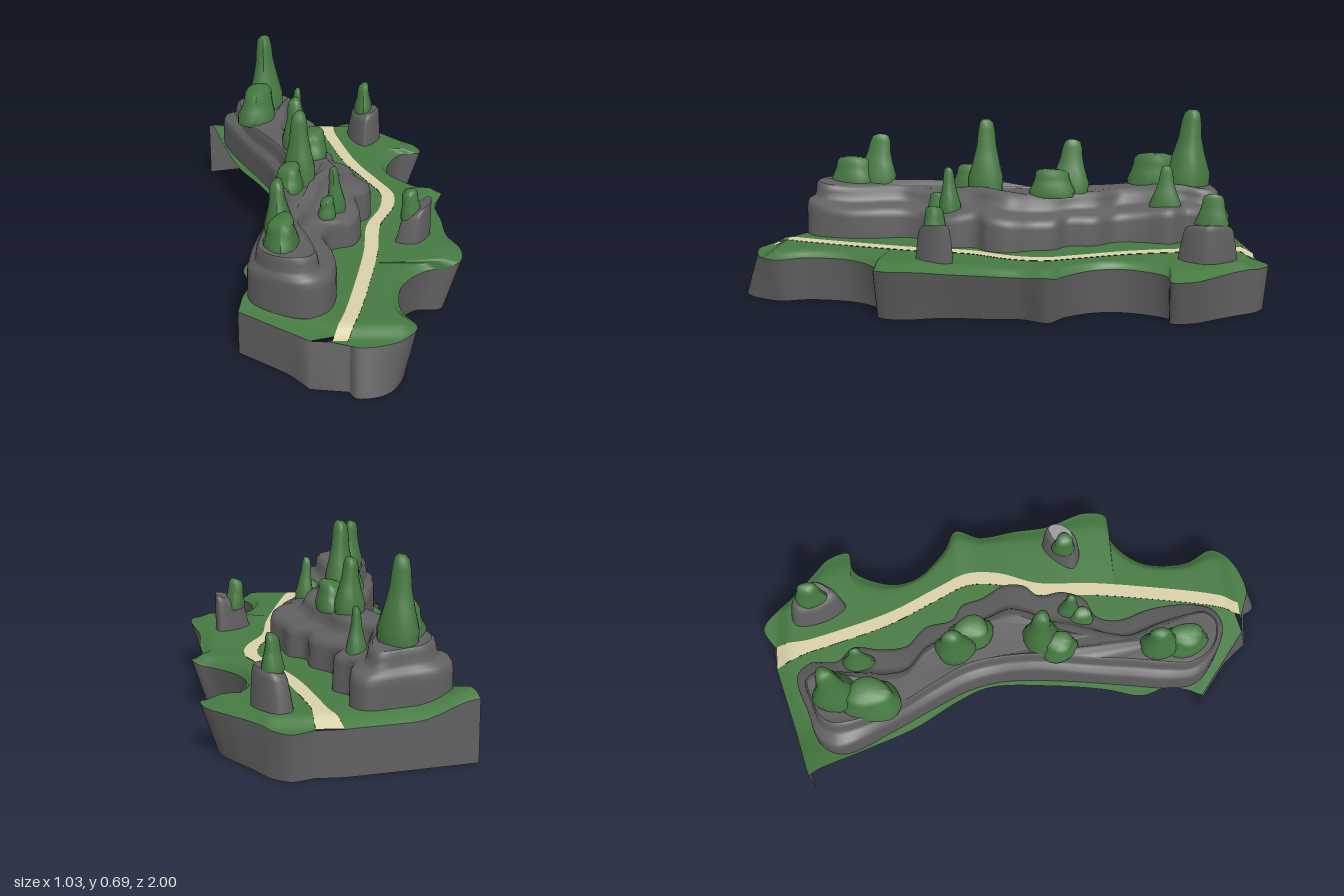
import * as THREE from 'three';

const material = (color) => new THREE.MeshStandardMaterial({ color, side: THREE.DoubleSide, roughness: 1 });
const grass = material(0x467a42), rock = material(0x606060), sand = material(0xd8d0a8);
const { smoothstep, lerp, clamp } = THREE.MathUtils;

// Smooth curve through [x, z] points, sampled as Vector3 on y = 0
function trace(points, n, closed = false) {
  const curve = new THREE.CatmullRomCurve3(points.map(([x, z]) => new THREE.Vector3(x, 0, z)), closed);
  const samples = curve.getPoints(n);
  if (closed) samples.pop();
  return samples;
}

// Surface through rows of equally many points
function loft(rows, closed = false) {
  const n = rows[0].length, index = [];
  for (let r = 0; r < rows.length - 1; r++) {
    for (let i = 0; i < (closed ? n : n - 1); i++) {
      const a = r * n + i, b = r * n + (i + 1) % n;
      index.push(a, a + n, b, b, a + n, b + n);
    }
  }
  const geo = new THREE.BufferGeometry();
  geo.setAttribute('position', new THREE.Float32BufferAttribute(rows.flat().flatMap((p) => p.toArray()), 3));
  geo.setIndex(index);
  geo.computeVertexNormals();
  return geo;
}

function addMesh(parent, name, geo, mat) {
  const mesh = new THREE.Mesh(geo, mat);
  mesh.name = name;
  parent.add(mesh);
}

// Stepped rock: rings blend from the outer to the inner outline, then a cap
function addMesa(parent, name, outer, inner, levels, lift, n) {
  const a = trace(outer, n, true), b = trace(inner, n, true);
  const rows = levels.map(([k, y]) => a.map((p, i) => {
    const q = p.clone().lerp(b[i], k);
    q.y = y + (y > 0.2 ? lift(q.x, q.z) : 0);
    return q;
  }));
  const top = rows[rows.length - 1];
  const cap = new THREE.ShapeGeometry(new THREE.Shape(top.map((p) => new THREE.Vector2(p.x, -p.z))));
  cap.rotateX(-Math.PI / 2);
  const pos = cap.attributes.position;
  for (let i = 0; i < pos.count; i++) {
    pos.setY(i, levels[levels.length - 1][1] + lift(pos.getX(i), pos.getZ(i)));
  }
  cap.computeVertexNormals();
  const group = new THREE.Group();
  group.name = name;
  addMesh(group, name + 'Wall', loft(rows, true), rock);
  addMesh(group, name + 'Top', cap, rock);
  parent.add(group);
}

// Rounded foliage lump, wider at its foot, leaning towards its tip
function lump(x, z, rx, rz, y0, y1, leanX, leanZ, taper) {
  const profile = [[1, 0], [1.03, 0.2], [lerp(1, taper, 0.5), 0.45], [lerp(1, taper, 0.85), 0.65],
    [taper, 0.85], [taper * 0.8, 0.96], [taper * 0.4, 1], [0, 1]];
  const geo = new THREE.LatheGeometry(profile.map(([r, y]) => new THREE.Vector2(r, y)), 18);
  const pos = geo.attributes.position;
  for (let i = 0; i < pos.count; i++) {
    const u = pos.getX(i), v = pos.getY(i), w = pos.getZ(i), angle = Math.atan2(w, u);
    const wobble = 1 + 0.08 * Math.sin(3 * angle + x * 20 + v * 2);
    pos.setXYZ(i, x + u * rx * wobble + leanX * v, lerp(y0, y1, v) + 0.015 * u * v, z + w * rz * wobble + leanZ * v);
  }
  geo.computeVertexNormals();
  return geo;
}

export function createModel() {
  const model = new THREE.Group();

  // Outlines: left edge, path centre line and wavy right edge, back to front
  const left = trace([[-0.52, -0.82], [-0.42, -0.58], [-0.35, -0.4], [-0.26, -0.24], [-0.21, -0.11], [-0.22, 0.13],
    [-0.25, 0.34], [-0.285, 0.48], [-0.26, 0.58], [-0.29, 0.72]], 80);
  const right = trace([[0.03, -0.955], [0.1, -0.995], [0.14, -0.98], [0.24, -0.87], [0.33, -0.79], [0.39, -0.73], [0.41, -0.65],
    [0.33, -0.63], [0.28, -0.55], [0.26, -0.45], [0.29, -0.36], [0.39, -0.26], [0.47, -0.21], [0.44, -0.11],
    [0.455, 0.03], [0.465, 0.17], [0.51, 0.33], [0.49, 0.41], [0.4, 0.42], [0.33, 0.47], [0.275, 0.56],
    [0.27, 0.72], [0.32, 0.83], [0.26, 0.91], [0.12, 0.95], [0.09, 0.92]], 160);
  const path = trace([[-0.02, -0.945], [0.045, -0.69], [0.11, -0.48], [0.2, -0.29], [0.25, -0.175], [0.245, -0.05],
    [0.19, 0.11], [0.175, 0.32], [0.14, 0.56], [0.095, 0.8], [0.06, 0.91]], 100);

  const pathAt = (z, side) => {
    const i = clamp(path.findIndex((p) => p.z >= z), 1, path.length - 1);
    const zc = clamp(z, -0.945, 0.91);
    const t = (zc - path[i - 1].z) / (path[i].z - path[i - 1].z);
    const half = 0.026 + 0.02 * smoothstep(-zc, 0.8, 0.95);
    return new THREE.Vector3(lerp(path[i - 1].x, path[i].x, clamp(t, 0, 1)) + side * half, 0, zc);
  };
  const dip = (z) => 0.03 * (smoothstep(-z, 0.89, 0.945) + smoothstep(z, 0.84, 0.91));
  const rise = (x, z) => 0.06 * smoothstep(-x, 0.3, 0.52) * smoothstep(-z, 0.5, 0.82);

  // Ground on both sides of the path, rolling down at its rim
  const leftGround = left.map((p) => {
    const z = lerp(-0.945, 0.91, (p.z + 0.82) / 1.54), q = pathAt(z, -1);
    return Array.from({ length: 11 }, (_, j) => {
      const g = p.clone().lerp(q, j / 10);
      g.y = 0.195 - dip(z) + rise(g.x, g.z);
      return g;
    });
  });
  const rightGround = right.map((p) => {
    const q = pathAt(p.z, 1);
    return [0, 0.25, 0.5, 0.7, 0.8, 0.88, 0.95, 1].map((v) => {
      const g = q.clone().lerp(p, v);
      const crest = 0.025 * smoothstep(p.x, 0.42, 0.51) * v;
      g.y = 0.195 + crest - Math.max(dip(q.z), 0.025 * smoothstep(v, 0.75, 1));
      return g;
    });
  });
  addMesh(model, 'groundLeft', loft(leftGround), grass);
  addMesh(model, 'groundRight', loft(rightGround), grass);
  addMesh(model, 'path', loft(path.map((p) => [-1, 0, 1].map((s) => pathAt(p.z, s).setY(0.196 - dip(p.z))))), sand);

  // Cliff skirt under the back, right and front rims
  const rim = [...leftGround[0], ...rightGround.map((r) => r[r.length - 1]), ...leftGround[leftGround.length - 1].slice().reverse()];
  const skirt = [0, 0.15, 0.5, 1].map((k) => rim.map((p) => new THREE.Vector3(
    p.x - 0.06 * k * smoothstep(p.x, 0.15, 0.45),
    p.y * (1 - k),
    p.z + k * (0.05 * smoothstep(p.z, 0.84, 0.95) + 0.015 * smoothstep(-p.z, 0.93, 1)))));
  addMesh(model, 'skirt', loft(skirt), rock);

  // Two-step ridge: [outer x, outer z, inner x, inner z] around the outline
  const ridge = [[-0.445, -0.69, -0.375, -0.69], [-0.4, -0.77, -0.34, -0.75], [-0.285, -0.81, -0.27, -0.78], [-0.14, -0.85, -0.19, -0.8],
    [-0.09, -0.8, -0.16, -0.75], [-0.095, -0.69, -0.175, -0.66], [-0.04, -0.63, -0.19, -0.57], [-0.05, -0.53, -0.195, -0.49],
    [-0.04, -0.42, -0.18, -0.42], [0.03, -0.345, -0.1, -0.345], [0.05, -0.24, -0.05, -0.24], [0.11, -0.2, -0.01, -0.16],
    [0.135, -0.12, 0.01, -0.09], [0.18, -0.03, 0.03, -0.02], [0.17, 0.05, 0.01, 0.05], [0.125, 0.1, -0.03, 0.13],
    [0.14, 0.2, -0.05, 0.21], [0.11, 0.28, -0.07, 0.29], [0.03, 0.32, -0.085, 0.36], [0.005, 0.4, -0.1, 0.44],
    [0.04, 0.53, -0.06, 0.56], [0.05, 0.64, -0.035, 0.65], [0.02, 0.77, -0.025, 0.73], [-0.05, 0.81, -0.07, 0.77],
    [-0.15, 0.78, -0.16, 0.75], [-0.25, 0.69, -0.22, 0.67], [-0.26, 0.58, -0.215, 0.56], [-0.235, 0.4, -0.19, 0.4],
    [-0.205, 0.19, -0.165, 0.19], [-0.19, -0.05, -0.15, -0.05], [-0.215, -0.185, -0.17, -0.185], [-0.275, -0.32, -0.235, -0.32],
    [-0.365, -0.5, -0.33, -0.5]];
  addMesa(model, 'ridge', ridge.map((p) => [p[0], p[1]]), ridge.map((p) => [p[2], p[3]]),
    [[0, 0.19], [0.02, 0.28], [0.06, 0.3], [0.2, 0.315], [0.65, 0.325], [0.8, 0.335], [0.87, 0.36], [0.93, 0.378], [1.1, 0.385]],
    (x, z) => 0.01 * Math.sin(9 * z + 1) + 0.006 * Math.sin(17 * z), 200);

  // Two single rocks beside the path
  const boulders = [
    ['backBoulder', [[0.1, -0.86], [0.15, -0.88], [0.24, -0.77], [0.17, -0.66], [0.11, -0.74]], [0.17, -0.78],
      (x) => 0.2 * (x - 0.17)],
    ['frontBoulder', [[0.26, 0.26], [0.32, 0.17], [0.38, 0.14], [0.4, 0.2], [0.34, 0.29]], [0.37, 0.2],
      (x) => 0.45 * (x - 0.35)],
  ];
  for (const [name, outline, [cx, cz], lift] of boulders) {
    addMesa(model, name, outline, outline.map(([x, z]) => [lerp(x, cx, 0.3) + 0.01, lerp(z, cz, 0.3)]),
      [[0, 0.18], [0.3, 0.25], [0.6, 0.3], [0.8, 0.315], [1.3, 0.325]], lift, 40);
  }

  // Bushes: tall column and low shoulder, each x, z, radii, foot, top, lean, taper
  const bushes = {
    backBush: [[-0.26, -0.68, 0.07, 0.085, 0.37, 0.685, -0.005, -0.02, 0.45], [-0.295, -0.55, 0.075, 0.11, 0.37, 0.505, 0.01, -0.01, 0.75]],
    backLedgeBush: [[-0.12, -0.605, 0.038, 0.06, 0.3, 0.485, 0, 0, 0.4]],
    middleBush: [[-0.11, -0.23, 0.055, 0.075, 0.37, 0.58, -0.01, -0.01, 0.5], [-0.05, -0.165, 0.06, 0.085, 0.37, 0.475, 0, 0, 0.75]],
    centreBush: [[-0.09, 0.095, 0.06, 0.065, 0.37, 0.655, -0.005, 0, 0.5], [-0.13, 0.16, 0.055, 0.07, 0.37, 0.47, 0, 0, 0.75]],
    frontBush: [[-0.15, 0.55, 0.05, 0.08, 0.37, 0.575, -0.01, -0.02, 0.5], [-0.14, 0.64, 0.06, 0.085, 0.37, 0.485, 0, 0, 0.75]],
    frontLedgeBush: [[0.045, 0.215, 0.034, 0.04, 0.31, 0.485, -0.012, 0.005, 0.5], [0.01, 0.265, 0.032, 0.045, 0.31, 0.38, 0, 0, 0.75]],
    backBoulderBush: [[0.165, -0.785, 0.037, 0.06, 0.31, 0.44, 0, 0, 0.65]],
    frontBoulderBush: [[0.325, 0.22, 0.038, 0.045, 0.28, 0.395, -0.01, 0, 0.75]],
  };
  for (const [name, parts] of Object.entries(bushes)) {
    const group = new THREE.Group();
    group.name = name;
    parts.forEach((part, i) => addMesh(group, name + (i ? 'Shoulder' : 'Column'), lump(...part), grass));
    model.add(group);
  }
  return model;
}
